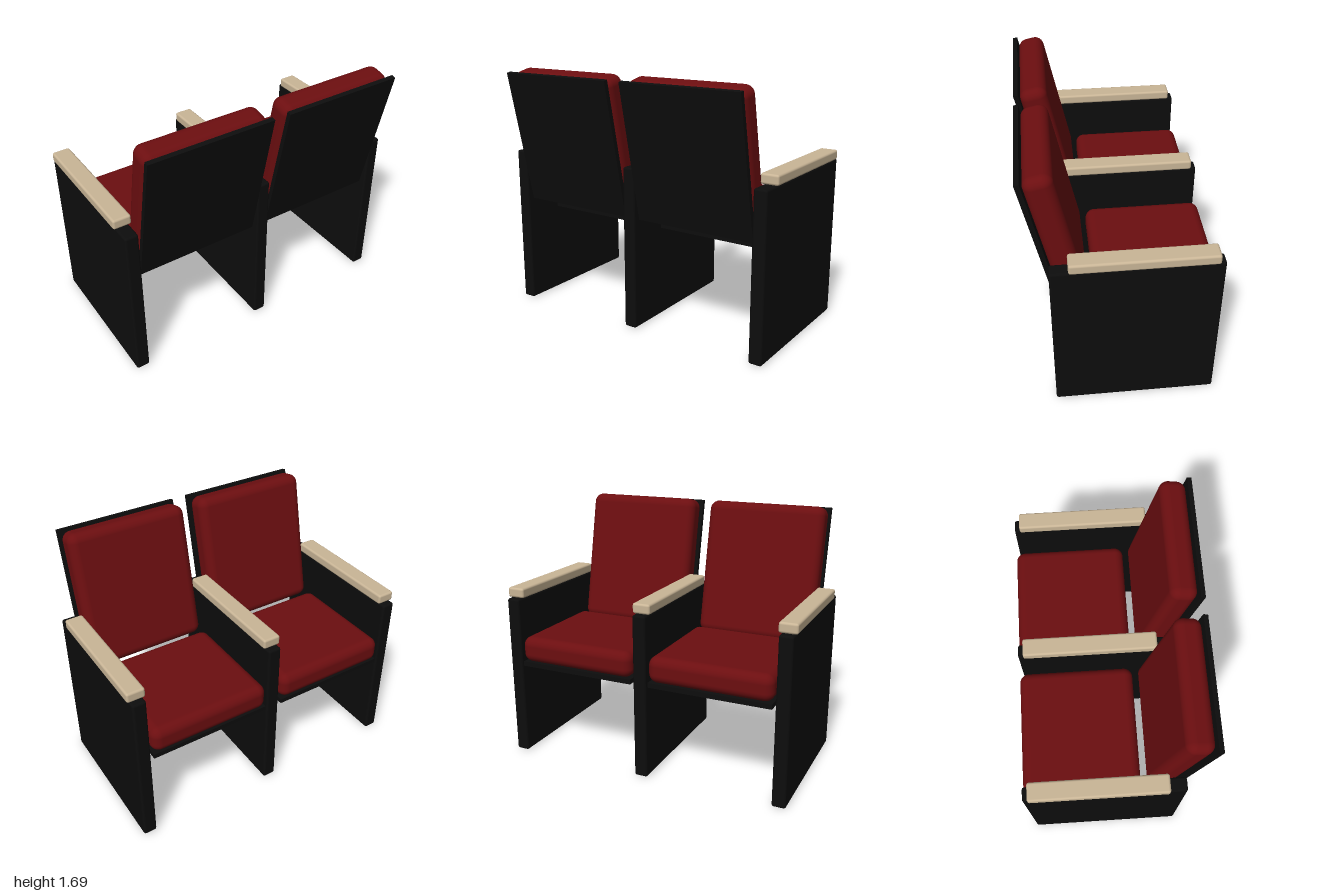
import * as THREE from 'three';
import { RoundedBoxGeometry } from 'three/addons/geometries/RoundedBoxGeometry.js';

const material = (name, color) => {
  const m = new THREE.MeshStandardMaterial({ color });
  m.name = name;
  return m;
};

export function createModel() {
  const black = material('black laminate', 0x0d0d0d);
  const red = material('red upholstery', 0x6c0e10);
  const wood = material('pale wood', 0xcab697);

  // Box between min and max limits; radius 0 gives sharp edges
  function box(parent, name, mat, x, y, z, radius = 0, segments = 2) {
    const size = [x, y, z].map(([a, b]) => b - a);
    const geometry = radius
      ? new RoundedBoxGeometry(...size, segments, radius)
      : new THREE.BoxGeometry(...size);
    const mesh = new THREE.Mesh(geometry, mat);
    mesh.name = name;
    mesh.position.set(...[x, y, z].map(([a, b]) => (a + b) / 2));
    parent.add(mesh);
  }

  const model = new THREE.Group();
  model.name = 'doubleTheatreSeat';

  // Three upright side panels, each capped by an armrest
  for (const x of [-0.94, 0, 0.94]) {
    box(model, 'sidePanel', black, [x - 0.045, x + 0.045], [0, 1.1], [-0.58, 0.445], 0.015);
    box(model, 'armrest', wood, [x - 0.06, x + 0.06], [1.1, 1.167], [-0.545, 0.335], 0.015);
  }

  // Two seats between the panels
  for (const x of [-0.47, 0.47]) {
    const seat = new THREE.Group();
    seat.name = 'seat';
    seat.position.x = x;
    model.add(seat);
    box(seat, 'seatBase', black, [-0.408, 0.408], [0.64, 0.672], [-0.585, 0.17]);
    box(seat, 'seatCushion', red, [-0.41, 0.41], [0.672, 0.847], [-0.6, 0.175], 0.06, 6);

    // Backrest leans away from the sitter, towards +z
    const backrest = new THREE.Group();
    backrest.name = 'backrest';
    backrest.rotation.x = THREE.MathUtils.degToRad(12);
    seat.add(backrest);
    box(backrest, 'backCushion', red, [-0.41, 0.41], [0.815, 1.742], [0.035, 0.209], 0.06, 6);
    box(backrest, 'backBoard', black, [-0.415, 0.415], [0.823, 1.748], [0.209, 0.239]);
  }
  return model;
}
